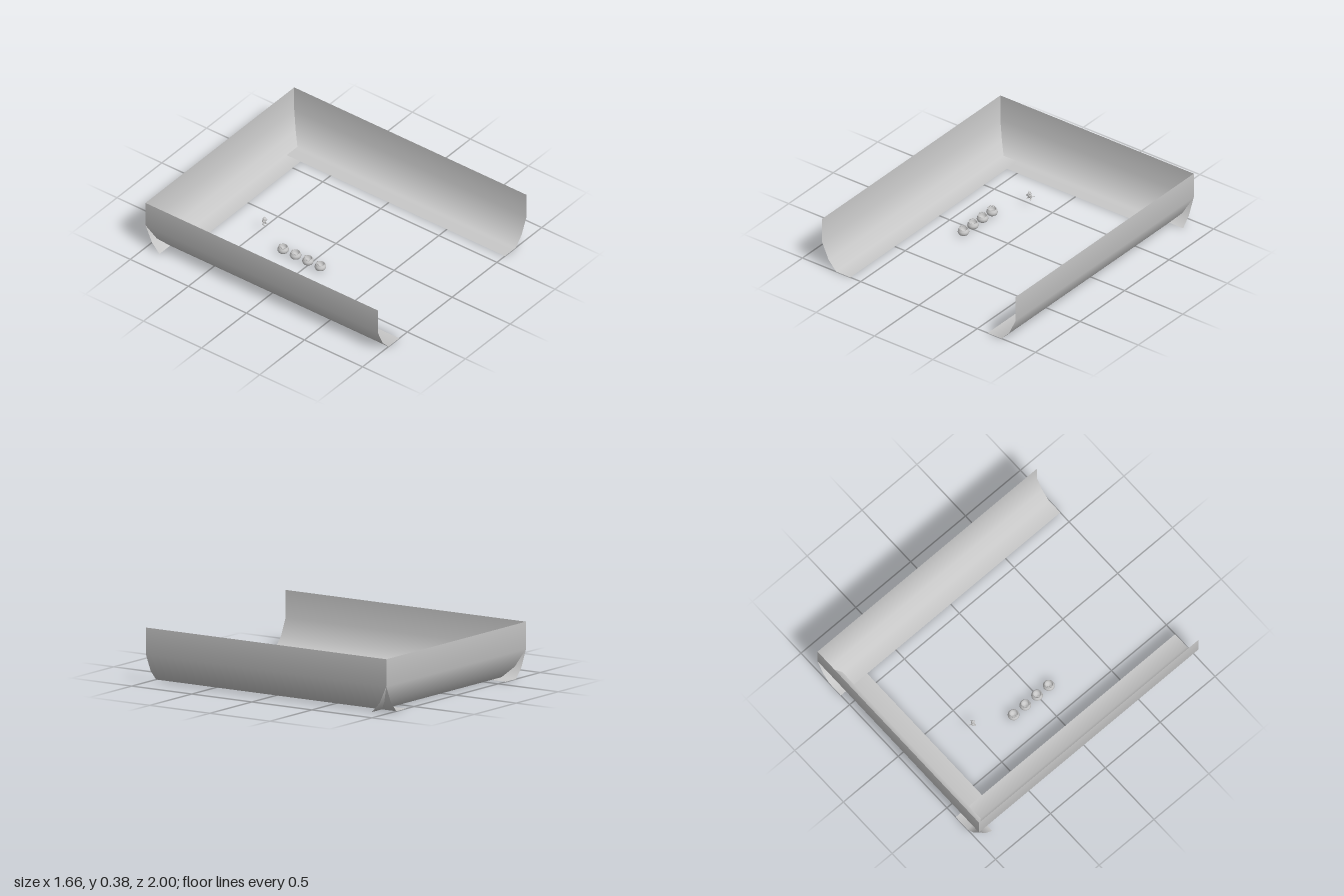
import * as THREE from 'three';

const grey = new THREE.MeshStandardMaterial({ color: 0xc8c8c8, side: THREE.DoubleSide });
grey.name = 'plain grey';

// Cove section: distance in from the wall, height
const COVE = [[0, 0.38], [0, 0.19], [0.055, 0.07], [0.12, 0], [0.24, 0]];

// Smooth strip along x through rows from..to of the cove, standing at z = -offset
function coveStrip(offset, half, from = 0, to = COVE.length - 1) {
  const pos = [], nor = [], index = [];
  for (let i = from; i <= to; i++) {
    const [d, y] = COVE[i];
    const p = COVE[Math.max(i - 1, 0)], q = COVE[Math.min(i + 1, COVE.length - 1)];
    const n = new THREE.Vector3(0, q[0] - p[0], p[1] - q[1]).normalize();
    for (const x of [-half, half]) {
      pos.push(x, y, d - offset);
      nor.push(n.x, n.y, n.z);
    }
    const a = (i - from) * 2;
    if (i < to) index.push(a, a + 2, a + 3, a, a + 3, a + 1);
  }
  const g = new THREE.BufferGeometry();
  g.setAttribute('position', new THREE.Float32BufferAttribute(pos, 3));
  g.setAttribute('normal', new THREE.Float32BufferAttribute(nor, 3));
  g.setIndex(index);
  return g;
}

function add(parent, name, geometry, x = 0, y = 0, z = 0) {
  const m = new THREE.Mesh(geometry, grey);
  m.name = name;
  m.position.set(x, y, z);
  parent.add(m);
  return m;
}

// Round pot with an open mouth and a hoop handle leaning to one side
function makePot() {
  const pot = new THREE.Group();
  pot.name = 'pot';
  const profile = [[0, 0.005], [0.02, 0.006], [0.034, 0.016], [0.04, 0.03], [0.037, 0.043],
    [0.03, 0.052], [0.031, 0.056], [0.027, 0.055], [0.028, 0.045], [0.02, 0.03], [0, 0.025]];
  add(pot, 'potBody', new THREE.LatheGeometry(profile.map(p => new THREE.Vector2(...p)), 24));
  const handle = add(pot, 'potHandle', new THREE.TorusGeometry(0.03, 0.0028, 6, 20, Math.PI), 0, 0.05, 0);
  handle.rotation.set(-1.0, 0.9, 0, 'YXZ');
  return pot;
}

// Small figure hovering above the floor
function makeFigure() {
  const fig = new THREE.Group();
  fig.name = 'figure';
  const ball = (name, r, x, y, z, sx = 1, sy = 1, sz = 1) =>
    add(fig, name, new THREE.SphereGeometry(r, 12, 8), x, y, z).scale.set(sx, sy, sz);
  ball('body', 0.015, 0, 0.078, 0, 1, 1.1, 0.9);
  ball('head', 0.012, 0, 0.098, 0.003, 1.1, 1, 1);
  ball('snout', 0.005, 0, 0.096, 0.015);
  for (const s of [-1, 1]) {
    add(fig, 'ear', new THREE.ConeGeometry(0.004, 0.012, 8), s * 0.008, 0.11, 0).rotation.z = -s * 0.3;
    add(fig, 'arm', new THREE.CapsuleGeometry(0.004, 0.012, 3, 8), s * 0.019, 0.081, 0.004).rotation.z = s * 0.9;
    add(fig, 'leg', new THREE.CapsuleGeometry(0.005, 0.009, 3, 8), s * 0.011, 0.062, 0.003).rotation.z = s * 0.35;
    ball('foot', 0.006, s * 0.014, 0.055, 0.008, 1, 0.7, 1.5);
  }
  const tail = new THREE.QuadraticBezierCurve3(new THREE.Vector3(0, 0.07, -0.01),
    new THREE.Vector3(0.005, 0.062, -0.026), new THREE.Vector3(0.022, 0.07, -0.024));
  add(fig, 'tail', new THREE.TubeGeometry(tail, 8, 0.003, 6));
  return fig;
}

export function createModel() {
  const model = new THREE.Group();
  model.name = 'covedEnclosure';

  // Back wall crosses the side walls; its floor strip stops between them
  add(model, 'backWall', coveStrip(1, 0.83, 0, 3));
  add(model, 'backFloor', coveStrip(1, 0.59, 3, 4));

  // Side walls run the full depth
  for (const s of [-1, 1]) {
    const wall = add(model, s > 0 ? 'leftWall' : 'rightWall', coveStrip(0.83, 1));
    wall.rotation.y = -s * Math.PI / 2;
  }

  // Row of pots
  for (let i = 0; i < 4; i++) {
    const pot = makePot();
    pot.position.set(-0.305, 0, -0.22 + i * 0.107);
    model.add(pot);
  }

  const figure = makeFigure();
  figure.position.set(-0.18, 0, -0.48);
  model.add(figure);
  return model;
}
